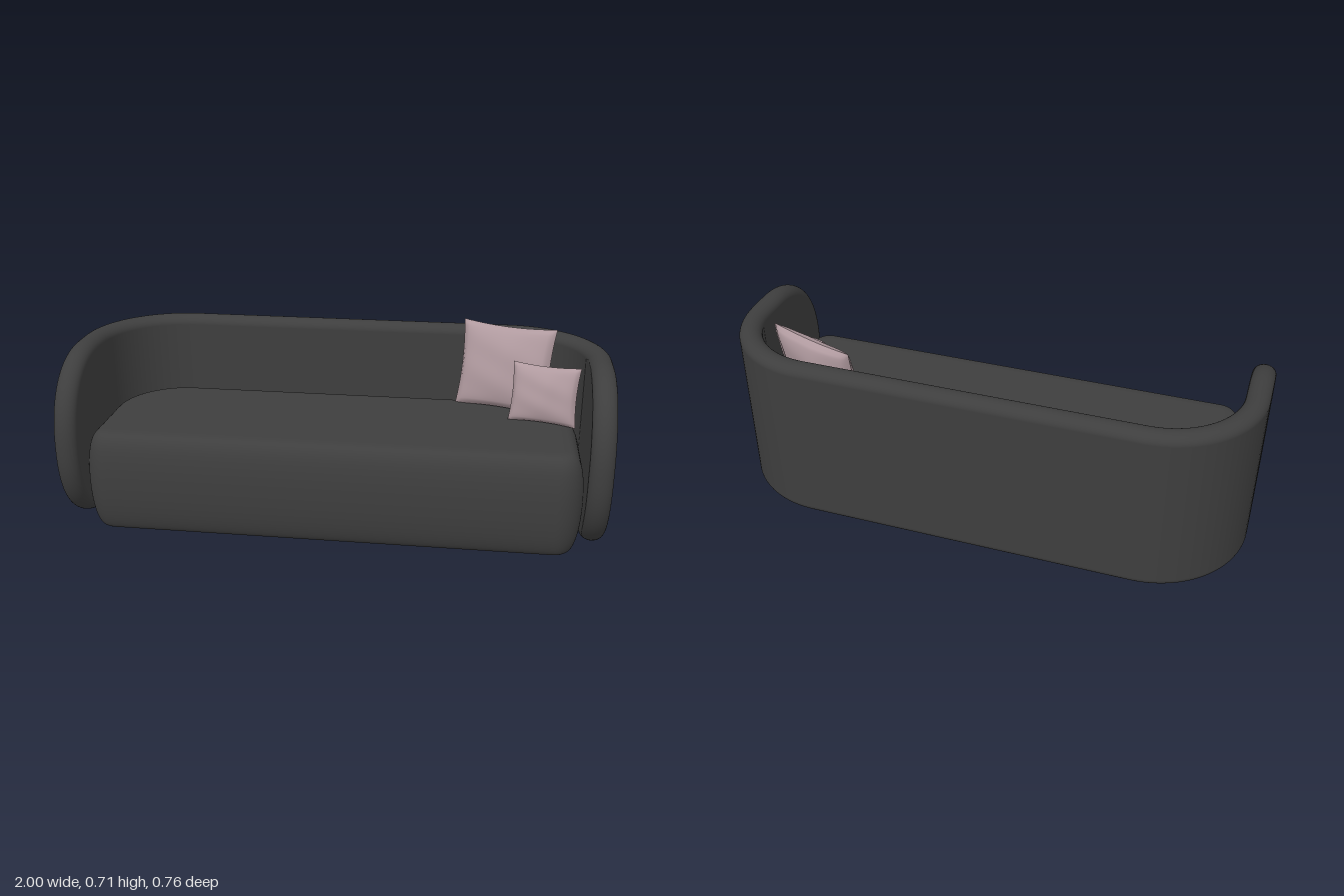
import * as THREE from 'three';
import { mergeVertices, mergeGeometries } from 'three/addons/utils/BufferGeometryUtils.js';

const fabric = new THREE.MeshStandardMaterial({ color: 0x3e3e3e });
const pink = new THREE.MeshStandardMaterial({ color: 0xb09a9f });

// Skin a list of equally long closed loops into a smooth surface
function skin(loops, flip) {
  const n = loops[0].length, index = [];
  for (let i = 0; i < loops.length - 1; i++) {
    for (let j = 0; j < n; j++) {
      const a = i * n + j, b = a + n, c = i * n + (j + 1) % n, d = c + n;
      if (flip) index.push(a, c, b, b, c, d);
      else index.push(a, b, c, b, d, c);
    }
  }
  let geo = new THREE.BufferGeometry();
  geo.setAttribute('position', new THREE.Float32BufferAttribute(loops.flat(2), 3));
  geo.setIndex(index);
  geo = mergeVertices(geo, 1e-5);
  geo.computeVertexNormals();
  return geo;
}

// U-shaped wall: back, curved corners and arms with rounded fronts
const CX = 0.63, CZ = -0.01, R = 0.327, ARC = R * Math.PI / 2;

// Point at distance s along the U (from the middle of the back), n outwards
function onWall(s, n, y) {
  const side = Math.sign(s) || 1, t = Math.abs(s);
  if (t < CX) return [s, y, CZ - R - n];
  if (t < CX + ARC) {
    const a = (t - CX) / R;
    return [side * (CX + (R + n) * Math.sin(a)), y, CZ - (R + n) * Math.cos(a)];
  }
  return [side * (CX + R + n), y, CZ + t - CX - ARC];
}

function wallGeometry() {
  const half = 0.336, thick = 0.043, round = 0.036;
  const start = CX + ARC + 0.07, reach = 0.32, power = 2 / 2.3;
  const stations = [];
  for (let i = 0; i <= 4; i++) stations.push({ s: CX * i / 4, q: 0 });
  for (let i = 1; i <= 20; i++) stations.push({ s: CX + ARC * i / 20, q: 0 });
  for (let i = 0; i <= 28; i++) stations.push({ s: start, q: i / 28 * Math.PI / 2 });
  const mirrored = stations.slice(1).reverse().map(o => ({ ...o, m: -1 }));
  const loops = [...mirrored, ...stations].map(({ s, q, m = 1 }) => {
    const top = [], bottom = [];
    for (let k = 0; k <= 16; k++) {
      const f = (k / 16 - 0.5) * Math.PI;
      const inset = round * (1 - Math.cos(f)), n = thick * Math.sin(f);
      const along = m * (s + (reach - inset) * Math.pow(Math.sin(q), power));
      const h = (half - inset) * Math.pow(Math.max(0, Math.cos(q)), power);
      top.push(onWall(along, n, half + h));
      bottom.unshift(onWall(along, n, half - h));
    }
    return [...top, ...bottom];
  });
  return skin(loops, false);
}

// Seat: rounded plan, inset by a bulging profile from floor to top
function seatGeometry() {
  const corners = [ // x, z, radius, start angle
    [0.817, 0.245, 0.095, 0], [-0.817, 0.245, 0.095, 1],
    [-CX, CZ, 0.282, 2], [CX, CZ, 0.282, 3],
  ];
  const ring = (inset, y) => corners.flatMap(([x, z, r, turn]) =>
    Array.from({ length: 15 }, (_, i) => {
      const a = (turn + i / 14) * Math.PI / 2;
      return [x + (r - inset) * Math.cos(a), y, z + (r - inset) * Math.sin(a)];
    }));
  const profile = new THREE.SplineCurve([
    [0.065, 0], [0.04, 0.004], [0.022, 0.025], [0.008, 0.075], [0, 0.15], [0, 0.24],
    [0.008, 0.31], [0.022, 0.355], [0.045, 0.381], [0.08, 0.388],
  ].map(p => new THREE.Vector2(...p))).getPoints(36);
  const loops = profile.map(p => ring(p.x, p.y));
  const point = y => loops[0].map(() => [0, y, 0]);
  return skin([point(0), ...loops, point(0.388)], false);
}

// Pillow: two puffed sheets joined at a seam, with pinched edges
function pillowGeometry(w, h, t) {
  const sheets = [1, -1].map(face => {
    const geo = new THREE.PlaneGeometry(2, 2, 28, 28), p = geo.attributes.position;
    for (let i = 0; i < p.count; i++) {
      const u = p.getX(i), v = p.getY(i), cu = 1 - u * u, cv = 1 - v * v;
      const fold = 1 + 0.07 * Math.sin(5 * u + 3 * v) * Math.sin(4 * v - 2 * u);
      p.setXYZ(i,
        face * u * w / 2 * (1 - 0.06 * cv),
        v * h / 2 * (1 - 0.07 * cu),
        face * t / 2 * Math.pow(Math.max(0, cu * cv), 0.42) * fold);
    }
    geo.computeVertexNormals();
    return geo;
  });
  return mergeGeometries(sheets);
}

export function createModel() {
  const group = new THREE.Group();
  const add = (name, geo, mat) => {
    const mesh = new THREE.Mesh(geo, mat);
    mesh.name = name;
    group.add(mesh);
    return mesh;
  };
  add('backAndArms', wallGeometry(), fabric);
  add('seat', seatGeometry(), fabric);

  // Two pillows leaning in the left corner
  const pillows = [
    ['largePillow', 0.37, 0.335, 0.1, [0.622, 0.546, -0.19], -0.32, -0.22],
    ['smallPillow', 0.255, 0.225, 0.08, [0.768, 0.496, -0.036], -0.25, -0.2],
  ];
  for (const [name, w, h, t, pos, yaw, lean] of pillows) {
    const pillow = add(name, pillowGeometry(w, h, t), pink);
    pillow.position.set(...pos);
    pillow.rotation.set(lean, yaw, 0, 'YXZ');
  }
  return group;
}
